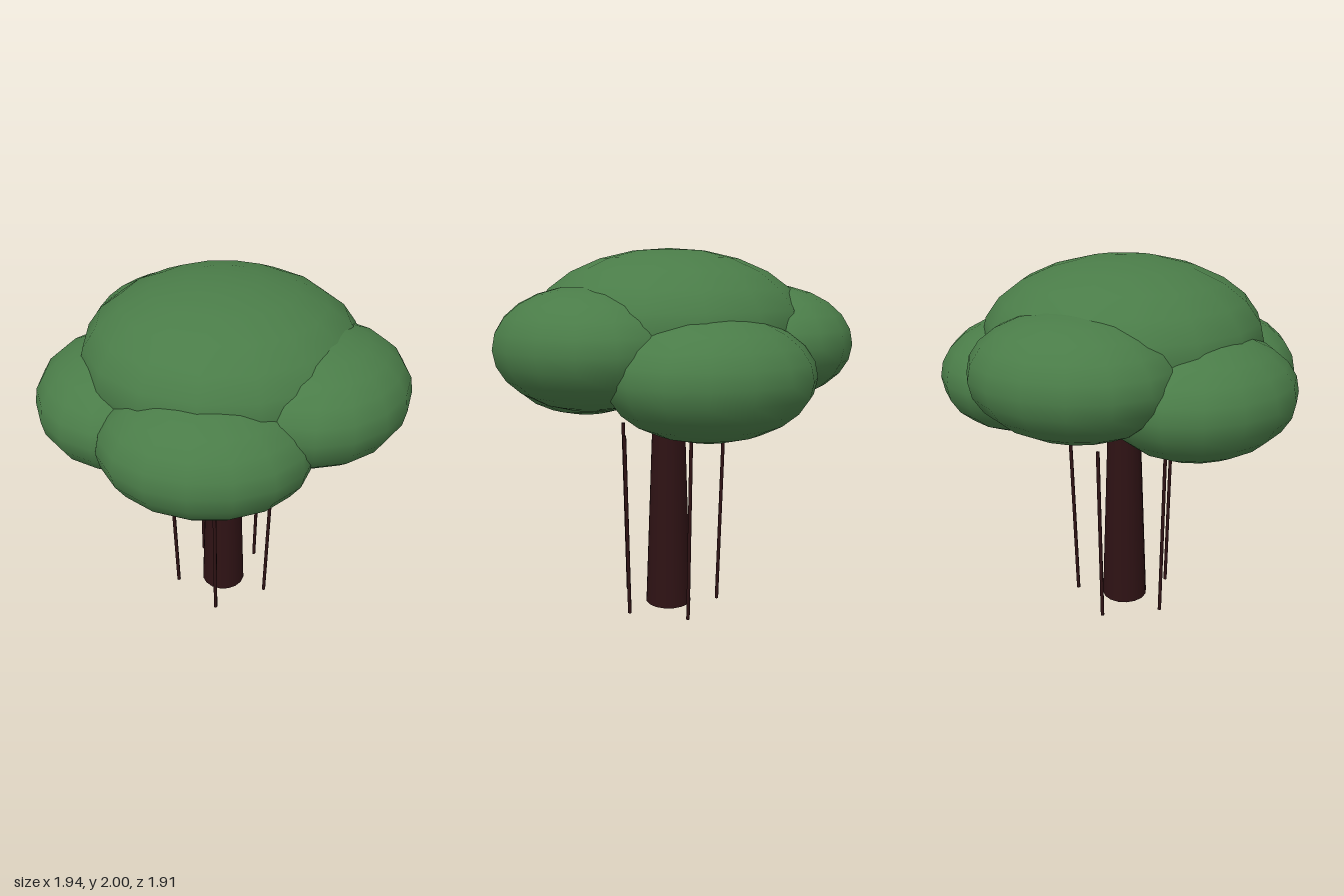
import * as THREE from 'three';

const CENTRE_Z = -0.037;

export function createModel() {
  const model = new THREE.Group();
  model.name = 'tree';

  const leaf = new THREE.MeshStandardMaterial({ color: 0x4a7c48 });
  leaf.name = 'leaf green';
  const bark = new THREE.MeshStandardMaterial({ color: 0x2e1214 });
  bark.name = 'dark bark';

  const add = (name, geometry, material) => {
    const mesh = new THREE.Mesh(geometry, material);
    mesh.name = name;
    model.add(mesh);
    return mesh;
  };

  // Tapered trunk, running up into the crown
  const trunkHeight = 1.4;
  add('trunk', new THREE.CylinderGeometry(0.08, 0.13, trunkHeight, 16), bark)
    .position.set(0, trunkHeight / 2, CENTRE_Z);

  // Wide top of the crown
  const top = add('crownTop', new THREE.SphereGeometry(1, 16, 12), leaf);
  top.scale.set(0.745, 0.42, 0.745);
  top.position.set(0, 1.58, CENTRE_Z);

  // Five crown lobes at alternating heights, and five thin hanging roots
  const lobe = new THREE.SphereGeometry(1, 16, 12);
  const rootHeight = 1.02;
  const rootGeometry = new THREE.CylinderGeometry(0.011, 0.011, 1, 6);
  const up = new THREE.Vector3(0, 1, 0);

  for (let i = 0; i < 5; i++) {
    const angle = (i * Math.PI * 2) / 5;
    const around = (radius, y) =>
      new THREE.Vector3(radius * Math.sin(angle), y, CENTRE_Z + radius * Math.cos(angle));

    const crownLobe = add('crownLobe' + (i + 1), lobe, leaf);
    crownLobe.scale.set(0.535, 0.31, 0.45);
    crownLobe.rotation.y = angle;
    crownLobe.position.copy(around(0.54, i % 2 ? 1.5 : 1.37));

    // Roots lean slightly outwards towards the top
    const foot = around(0.284, 0);
    const head = around(0.31, rootHeight);
    const span = head.clone().sub(foot);
    const root = add('hangingRoot' + (i + 1), rootGeometry, bark);
    root.scale.y = span.length();
    root.quaternion.setFromUnitVectors(up, span.normalize());
    root.position.copy(foot.add(head).multiplyScalar(0.5));
  }

  return model;
}
